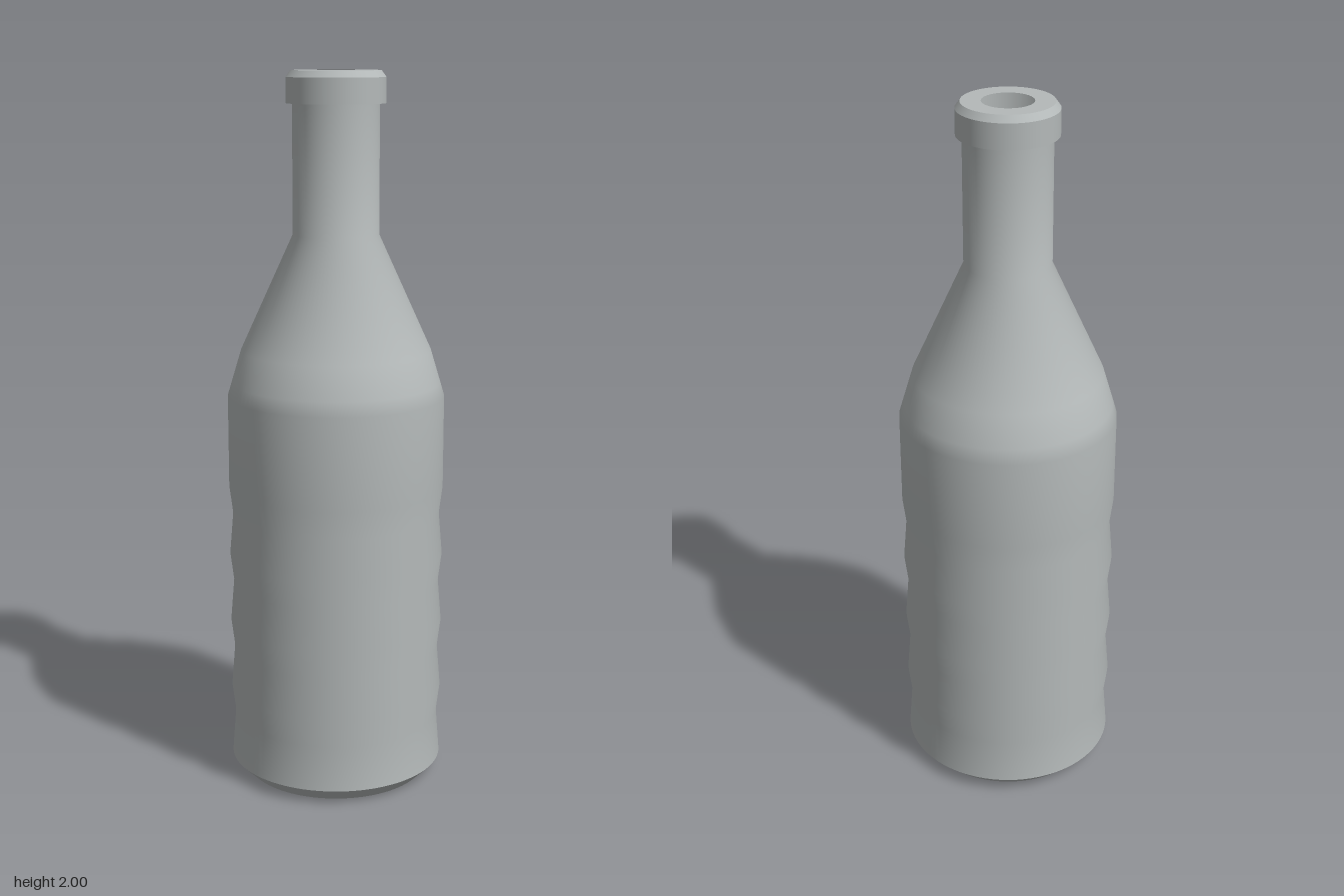
import * as THREE from 'three';

export function createModel() {
  const bottle = new THREE.Group();
  bottle.name = 'bottle';
  // thin open shell, visible from inside too
  const glass = new THREE.MeshStandardMaterial({ color: 0xb4b9b9, side: THREE.DoubleSide });
  glass.name = 'grey glass';

  // each part is its own smooth lathe, so the joins between parts stay sharp
  const turn = (name, profile) => {
    const points = profile.map(([r, y]) => new THREE.Vector2(r, y));
    const mesh = new THREE.Mesh(new THREE.LatheGeometry(points, 96), glass);
    mesh.name = name;
    bottle.add(mesh);
  };

  // bevelled foot around the open base
  turn('foot', [[0.262, 0], [0.304, 0.042]]);

  // body with four shallow grip grooves, then shoulder and neck
  const body = [[0.304, 0.042]];
  for (let i = 0; i < 4; i++) {
    const y = 0.17 + i * 0.2;
    body.push([0.294, y], [0.304, y + 0.08]);
  }
  body.push([0.304, 1.11], [0.292, 1.15], [0.265, 1.24], [0.119, 1.56], [0.119, 1.913]);
  turn('body', body);

  // lip: underside, band, bevel and flat rim round the mouth
  const lip = [[0.119, 1.913], [0.136, 1.913], [0.136, 1.982], [0.123, 2], [0.069, 2]];
  ['lipUnderside', 'lipBand', 'lipBevel', 'rim'].forEach((name, i) => turn(name, [lip[i], lip[i + 1]]));

  return bottle;
}
